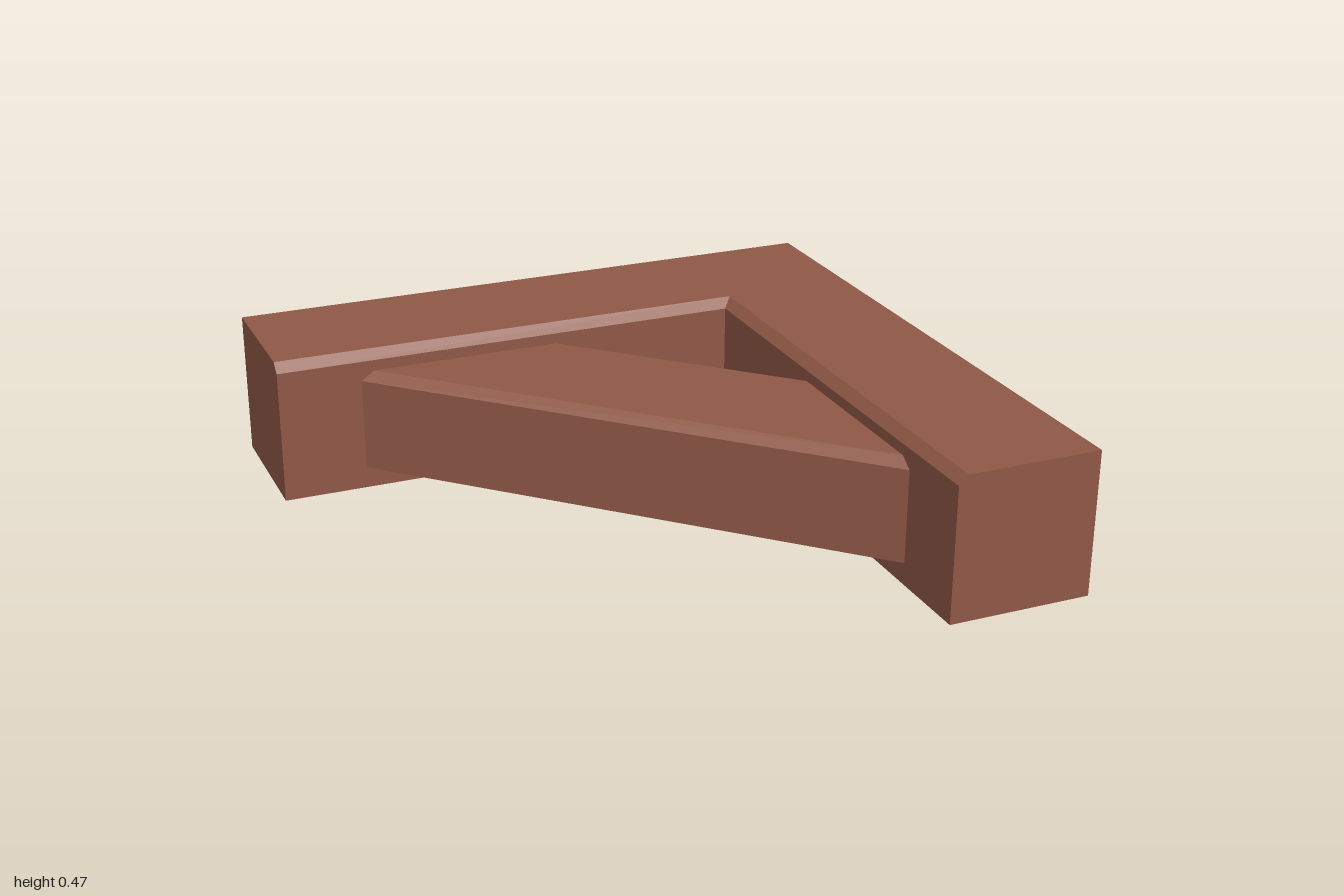
import * as THREE from 'three';

const WIDTH = 0.463, HEIGHT = 0.465, BEVEL = 0.03;

// Sweeps a cross-section through stations; each station maps (offset, y) to [x, y, z].
function sweep(profile, stations) {
  const rings = stations.map(place => profile.map(([d, y]) => place(d, y)));
  const n = profile.length, out = [];
  const tri = (a, b, c) => out.push(...a, ...b, ...c);
  for (let i = 0; i < rings.length - 1; i++) {
    for (let j = 0; j < n; j++) {
      const k = (j + 1) % n, a = rings[i], b = rings[i + 1];
      tri(a[j], b[j], b[k]);
      tri(a[j], b[k], a[k]);
    }
  }
  const first = rings[0], last = rings[rings.length - 1];
  for (let j = 1; j < n - 1; j++) {
    tri(first[0], first[j], first[j + 1]);
    tri(last[0], last[j + 1], last[j]);
  }
  const geometry = new THREE.BufferGeometry();
  geometry.setAttribute('position', new THREE.Float32BufferAttribute(out, 3));
  geometry.computeVertexNormals();
  return geometry;
}

// Rectangle with its upper inner edge cut off.
const bevelled = (d0, d1, y0, y1, cut) => [
  [d0, y0], [d1, y0], [d1, y1 - BEVEL], [d1 - cut, y1], [d0, y1],
];

export function createModel() {
  const group = new THREE.Group();
  const wood = new THREE.MeshStandardMaterial({ color: 0x8f5846, flatShading: true });
  wood.name = 'red brown wood';

  const add = (name, geometry) => {
    const mesh = new THREE.Mesh(geometry, wood);
    mesh.name = name;
    group.add(mesh);
  };

  // Two beams meeting in a mitred corner; offset runs inward from the outer side
  add('cornerBeams', sweep(bevelled(0, WIDTH, 0, HEIGHT, BEVEL), [
    (d, y) => [-1, y, -1 + d],
    (d, y) => [1 - d, y, -1 + d],
    (d, y) => [1 - d, y, 1],
  ]));

  // Diagonal brace between the inner faces; offset is z - x
  const inner = 1 - WIDTH;
  add('diagonalBrace', sweep(bevelled(-0.465, 0.193, 0.07, 0.4, BEVEL * Math.SQRT2), [
    (d, y) => [-inner - d, y, -inner],
    (d, y) => [inner, y, inner + d],
  ]));

  return group;
}
